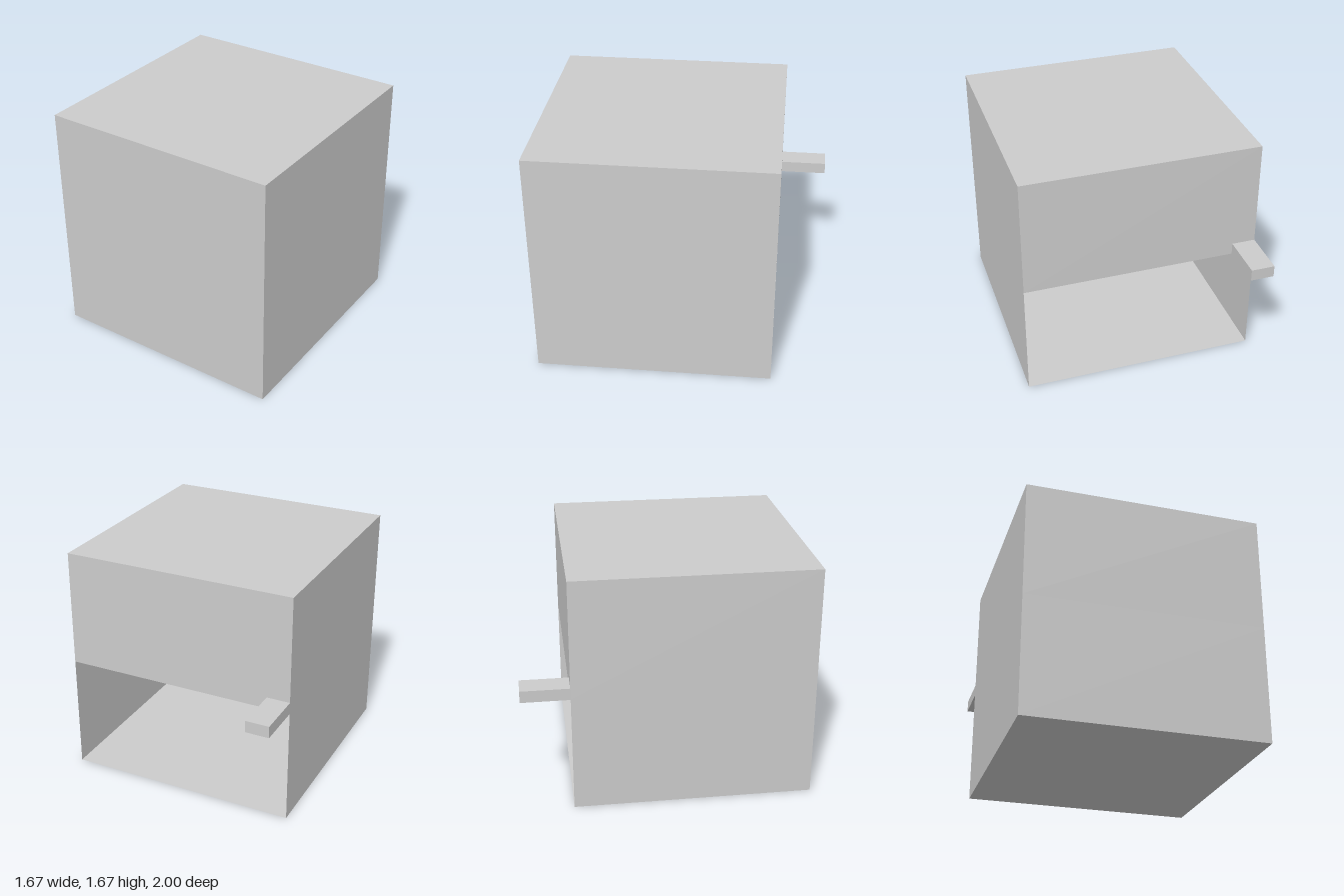
import * as THREE from 'three';

const U = 1 / 6;            // base module: the cube is 10 x 10 x 10 modules
const S = 10 * U;
const CZ = U;               // cube centre in z
const SHELF = S / 2;        // underside of the closed upper half

export function createModel() {
  const group = new THREE.Group();
  const solid = new THREE.MeshStandardMaterial({ color: 0xcccccc, flatShading: true });
  const thin = new THREE.MeshStandardMaterial({ color: 0xcccccc, flatShading: true, side: THREE.DoubleSide });

  const add = (name, geometry, material, x, y, z) => {
    const mesh = new THREE.Mesh(geometry, material);
    mesh.name = name;
    mesh.position.set(x, y, z);
    group.add(mesh);
    return mesh;
  };

  // Closed upper half; its underside is the ceiling of the open bay
  add('upperBlock', new THREE.BoxGeometry(S, S / 2, S), solid, 0, SHELF + S / 4, CZ);

  // Thin shell of the lower bay, open at the back
  add('floor', new THREE.PlaneGeometry(S, S), thin, 0, 0, CZ).rotation.x = -Math.PI / 2;
  add('frontWall', new THREE.PlaneGeometry(S, S / 2), thin, 0, S / 4, CZ + S / 2);
  for (const [name, side] of [['leftWall', 1], ['rightWall', -1]]) {
    add(name, new THREE.PlaneGeometry(S, S / 2), thin, side * S / 2, S / 4, CZ).rotation.y = side * Math.PI / 2;
  }

  // Two matching bars: one sticks out of the back, one hangs under the ceiling
  const bar = new THREE.BoxGeometry(U, U / 2, 2 * U);
  add('rearBar', bar, solid, -4.5 * U, SHELF + U / 4, -5 * U);
  add('hangingBar', bar, solid, -3.5 * U, SHELF - U / 4, 3 * U);

  return group;
}
